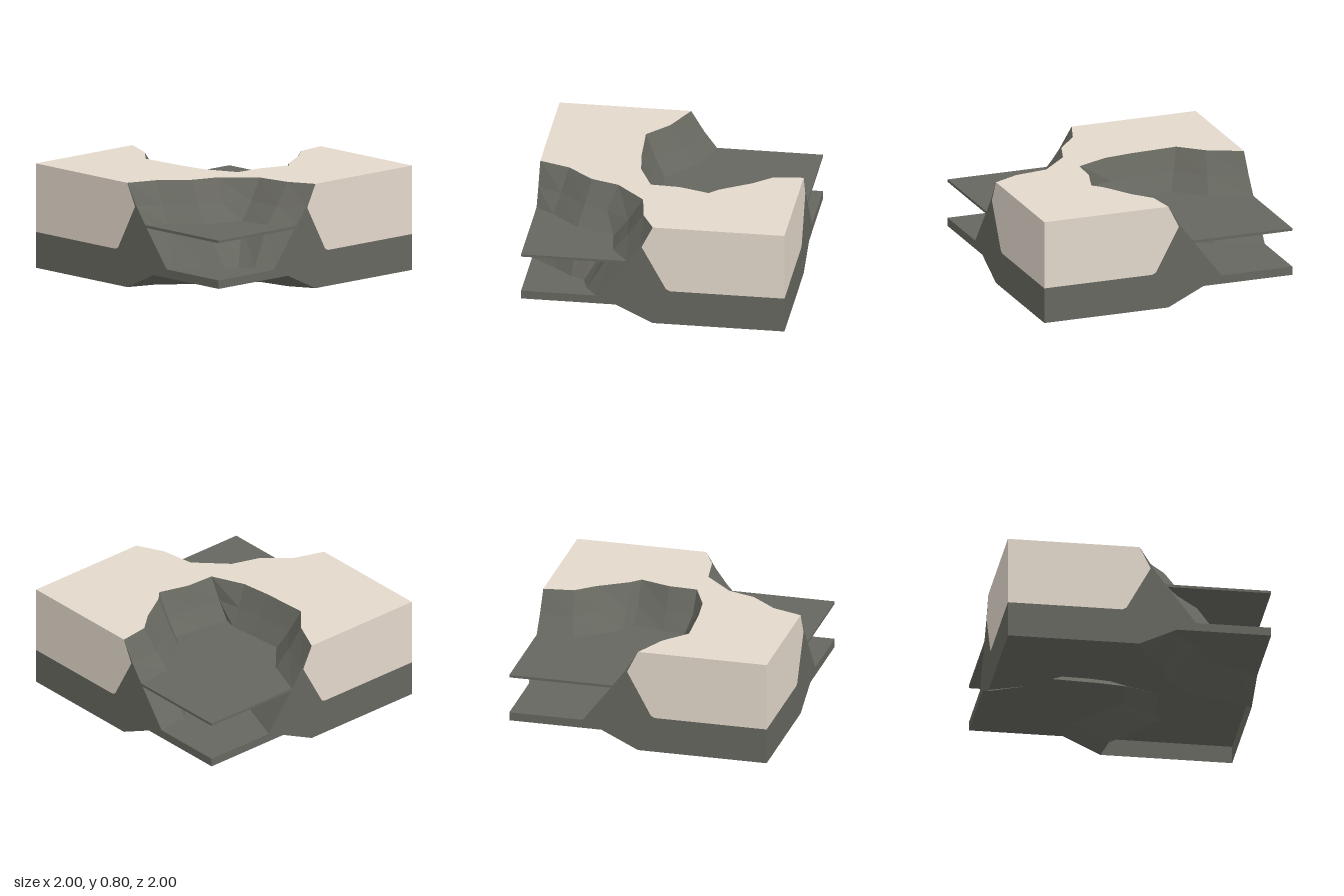
import * as THREE from 'three';

// The shell is open underneath, so the stone is visible from inside too
const stone = new THREE.MeshStandardMaterial({ color: 0x66675f, side: THREE.DoubleSide });
stone.name = 'darkStone';
const sand = new THREE.MeshStandardMaterial({ color: 0xe3d8cb });
sand.name = 'paleSand';

// Cliff stations as [rim x, rim z, shelf x, shelf z, base x, base z]
const backCliff = [
  [0, -1, 0.2, -1, 0.43, -1],
  [-0.12, -0.74, 0.08, -0.68, 0.3, -0.65],
  [-0.28, -0.56, -0.12, -0.46, 0.07, -0.39],
  [-0.26, -0.2, -0.1, -0.2, 0.07, -0.25],
  [-0.23, 0.03, -0.08, -0.02, 0.09, -0.13],
  [-0.12, 0.28, -0.11, 0.09, 0.12, -0.08],
  [0.1, 0.29, 0.1, 0.12, 0.2, -0.06],
  [0.33, 0.36, 0.34, 0.16, 0.36, -0.05],
  [0.4, 0.29, 0.4, 0.07, 0.42, -0.1],
  [0.63, 0.15, 0.56, -0.07, 0.58, -0.25],
  [0.77, 0.03, 0.72, -0.18, 0.75, -0.4],
  [1, 0, 1, -0.2, 1, -0.43],
];
const frontCliff = [
  [0, 1, -0.2, 1, -0.43, 1],
  [-0.1, 0.8, -0.33, 0.82, -0.52, 0.88],
  [-0.14, 0.54, -0.36, 0.58, -0.56, 0.75],
  [-0.36, 0.32, -0.5, 0.53, -0.66, 0.7],
  [-0.57, 0.25, -0.65, 0.48, -0.78, 0.6],
  [-0.77, 0.08, -0.86, 0.29, -0.96, 0.46],
  [-1, 0, -1, 0.2, -1, 0.43],
];

const pick = (cliff, i) => cliff.map((s) => [s[2 * i], s[2 * i + 1]]);
const blend = (a, b, t) => a.map((p, i) => [p[0] + (b[i][0] - p[0]) * t, p[1] + (b[i][1] - p[1]) * t]);
const makeShape = (pts, sx = 1, sy = 1) => new THREE.Shape(pts.map(([x, y]) => new THREE.Vector2(x * sx, y * sy)));

function addMesh(group, name, geometry, material) {
  const mesh = new THREE.Mesh(geometry, material);
  mesh.name = name;
  group.add(mesh);
}

// Faceted strip joining rings of [points, height], listed from top to bottom
function strip(rings) {
  const pos = [];
  for (let r = 0; r + 1 < rings.length; r++) {
    const [top, yt] = rings[r];
    const [low, yl] = rings[r + 1];
    for (let j = 0; j + 1 < top.length; j++) {
      const a = [top[j][0], yt, top[j][1]];
      const b = [top[j + 1][0], yt, top[j + 1][1]];
      const c = [low[j][0], yl, low[j][1]];
      const d = [low[j + 1][0], yl, low[j + 1][1]];
      pos.push(...a, ...b, ...c, ...b, ...d, ...c);
    }
  }
  const geometry = new THREE.BufferGeometry();
  geometry.setAttribute('position', new THREE.Float32BufferAttribute(pos, 3));
  geometry.computeVertexNormals();
  return geometry;
}

// Cliff, sloping underside and thin upper shelf of one open corner
function addCorner(group, prefix, cliff, corner) {
  const [rim, shelf, base] = [0, 1, 2].map((i) => pick(cliff, i));
  const part = new THREE.Group();
  part.name = prefix + 'Corner';
  addMesh(part, prefix + 'Cliff', strip([
    [rim, 0.8], [blend(rim, shelf, 0.5), 0.635], [shelf, 0.5], [base, 0.2],
  ]), stone);
  addMesh(part, prefix + 'Underside', strip([[blend(rim, base, 0.66), 0.135], [rim, 0]]), stone);
  const slab = new THREE.ExtrudeGeometry(makeShape([...shelf, corner], 1, -1), { depth: 0.02, bevelEnabled: false });
  addMesh(part, prefix + 'UpperShelf', slab.rotateX(-Math.PI / 2).translate(0, 0.485, 0), stone);
  group.add(part);
}

export function createModel() {
  const model = new THREE.Group();
  model.name = 'cliffTile';
  addCorner(model, 'back', backCliff, [1, -1]);
  addCorner(model, 'front', frontCliff, [-1, 1]);

  // Lower slab runs under the whole tile and closes the hollow from above
  addMesh(model, 'lowerShelf', new THREE.BoxGeometry(2, 0.065, 2).translate(0, 0.1675, 0), stone);

  // Diagonal plateau
  const outline = [[-1, -1], ...pick(backCliff, 0), [1, 1], ...pick(frontCliff, 0)];
  addMesh(model, 'plateauTop',
    new THREE.ShapeGeometry(makeShape(outline, 1, -1)).rotateX(-Math.PI / 2).translate(0, 0.8, 0), sand);

  // Cut faces on the four sides: sand core with a stone crust
  const inner = [[0, 0.8], [-0.085, 0.63], [0.1, 0.29], [0.13, 0.275], [1, 0.275]];
  const sandFace = [...inner, [1, 0.8]];
  const stoneFace = [...inner, [1, 0], [0, 0], [-0.284, 0.135], [-0.43, 0.2], [-0.2, 0.5], [-0.1, 0.635]];
  const sides = [['front', 1, 0], ['back', 1, Math.PI], ['left', -1, Math.PI / 2], ['right', -1, -Math.PI / 2]];
  for (const [name, flip, turn] of sides) {
    const face = (pts) => new THREE.ShapeGeometry(makeShape(pts, flip)).translate(0, 0, 1).rotateY(turn);
    addMesh(model, name + 'SandFace', face(sandFace), sand);
    addMesh(model, name + 'StoneFace', face(stoneFace), stone);
  }
  return model;
}
